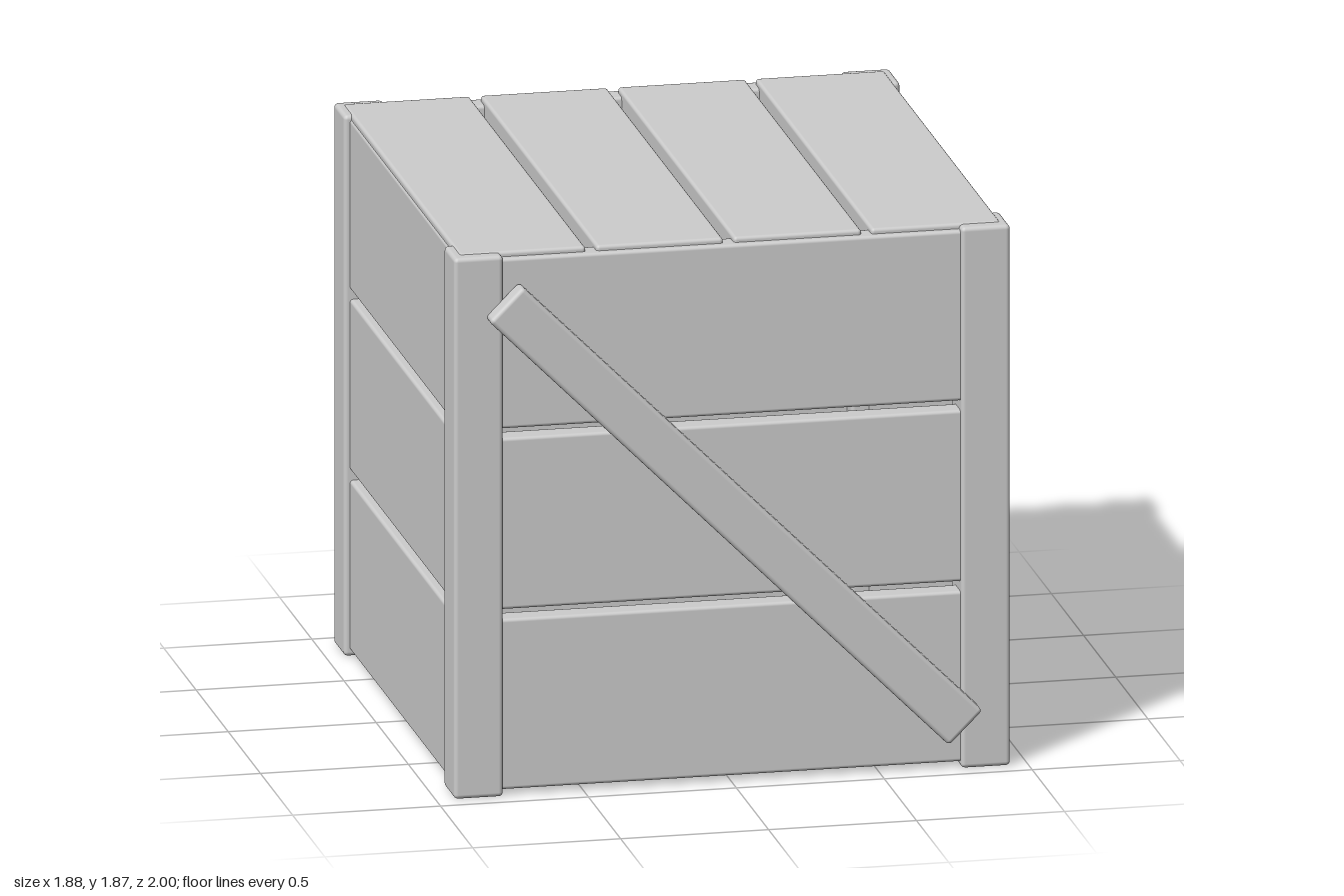
import * as THREE from 'three';
import { RoundedBoxGeometry } from 'three/addons/geometries/RoundedBoxGeometry.js';

const crateGrey = new THREE.MeshStandardMaterial({ color: 0xcccccc });
crateGrey.name = 'crateGrey';

// Softly rounded board spanning the given min/max ranges
function board(name, [x0, x1], [y0, y1], [z0, z1], radius = 0.012) {
  const geometry = new RoundedBoxGeometry(x1 - x0, y1 - y0, z1 - z0, 2, radius);
  const mesh = new THREE.Mesh(geometry, crateGrey);
  mesh.name = name;
  mesh.position.set((x0 + x1) / 2, (y0 + y1) / 2, (z0 + z1) / 2);
  return mesh;
}

// One wall of three horizontal planks, facing +z before it is turned
function wall(name, turn, outer) {
  const group = new THREE.Group();
  group.name = name;
  const rows = [[0.02, 0.607], [0.64, 1.23], [1.262, 1.848]];
  for (const row of rows) {
    group.add(board('wallPlank', [-0.86, 0.86], row, [outer - 0.085, outer]));
  }
  group.rotation.y = turn;
  return group;
}

// Diagonal brace from upper left to lower right, facing +z before it is turned
function brace(name, turn) {
  const group = new THREE.Group();
  group.name = name;
  const bar = board('braceBar', [-1.1, 1.1], [-0.08, 0.08], [0.925, 1.0], 0.015);
  bar.position.y = 0.933;
  bar.rotation.z = -Math.PI / 4;
  group.add(bar);
  group.rotation.y = turn;
  return group;
}

export function createModel() {
  const crate = new THREE.Group();
  crate.name = 'crate';

  // Corner posts
  for (const sx of [-1, 1]) {
    for (const sz of [-1, 1]) {
      const post = board('cornerPost', [-0.083, 0.083], [0, 1.862], [-0.083, 0.083], 0.015);
      post.position.x = sx * 0.857;
      post.position.z = sz * 0.857;
      crate.add(post);
    }
  }

  // Walls; the bottom stays open
  crate.add(
    wall('frontWall', 0, 0.925),
    wall('leftWall', Math.PI / 2, 0.92),
    wall('backWall', Math.PI, 0.925),
    wall('rightWall', -Math.PI / 2, 0.92)
  );

  // Lid planks running front to back
  const lid = new THREE.Group();
  lid.name = 'lid';
  for (const span of [[-0.915, -0.487], [-0.451, -0.022], [0.013, 0.445], [0.478, 0.915]]) {
    lid.add(board('lidPlank', span, [1.79, 1.866], [-0.905, 0.9]));
  }
  crate.add(lid);

  // Diagonal braces on front and back
  crate.add(brace('frontBrace', 0), brace('backBrace', Math.PI));
  return crate;
}
